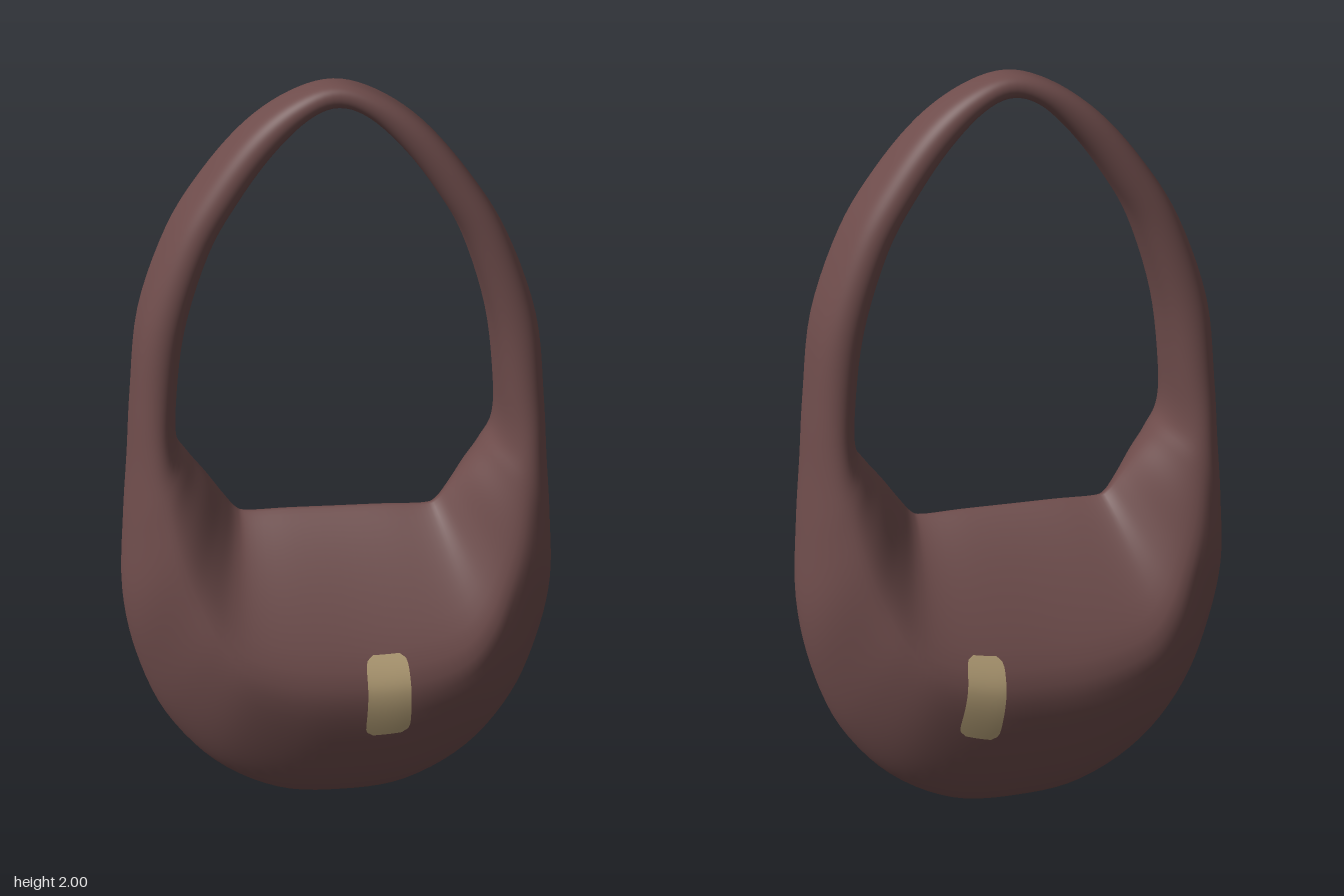
import * as THREE from 'three';

// Half of the bag's ring, from the bottom centre up to the top of the handle:
// inner x, inner y, outer x, outer y, half thickness,
// section kind: wedge-shaped pouch (1), rounded end (0), boxy strap (-1)
const STATIONS = [
  [0, 0.875, 0, 0.003, 0.264, 1],
  [0.12, 0.875, 0.17, 0.025, 0.264, 1],
  [0.22, 0.873, 0.33, 0.125, 0.253, 1],
  [0.25, 0.885, 0.45, 0.285, 0.228, 1],
  [0.28, 0.925, 0.515, 0.47, 0.197, 0.8],
  [0.32, 0.985, 0.54, 0.65, 0.17, 0.4],
  [0.36, 1.04, 0.527, 0.85, 0.14, 0.1],
  [0.39, 1.095, 0.508, 1.03, 0.114, -0.3],
  [0.392, 1.2, 0.492, 1.2, 0.1, -0.8],
  [0.366, 1.4, 0.464, 1.42, 0.095, -1],
  [0.303, 1.6, 0.39, 1.63, 0.089, -1],
  [0.232, 1.727, 0.303, 1.775, 0.081, -1],
  [0.153, 1.836, 0.203, 1.895, 0.07, -1],
  [0.07, 1.917, 0.1, 1.97, 0.057, -1],
  [0, 1.943, 0, 2, 0.048, -1],
];
const RING = [
  ...STATIONS,
  ...STATIONS.slice(1, -1).reverse().map(([a, b, c, d, h, k]) => [-a, b, -c, d, h, k]),
];
const curveOf = (pick) =>
  new THREE.CatmullRomCurve3(RING.map((r) => new THREE.Vector3(...pick(r))), true, 'catmullrom', 0.5);
const inner = curveOf((r) => [r[0], r[1], r[4]]);
const outer = curveOf((r) => [r[2], r[3], r[5]]);

const PEAK = 0.46; // where the pouch is fattest between mouth and base
const SOFT = 0.18; // rounding of the fold there

// Pouch section: sloping upper panel, soft fold, fuller rounded base
function leafProfile(s) {
  const d = s < PEAK ? 1 - s / PEAK : (s - PEAK) / (1 - PEAK);
  const fall = (Math.hypot(d, SOFT) - SOFT) / (Math.hypot(1, SOFT) - SOFT);
  return Math.pow(Math.max(0, 1 - fall), s < PEAK ? 0.76 : 0.55);
}

// Point on the skin: t counts stations, s runs inner edge to outer edge
function skinPoint(t, s, side, lift = 0) {
  const u = (((t / RING.length) % 1) + 1) % 1;
  const a = inner.getPoint(u);
  const b = outer.getPoint(u);
  const wedge = THREE.MathUtils.clamp(b.z, 0, 1);
  const boxy = THREE.MathUtils.clamp(-b.z, 0, 1);
  const round = Math.pow(4 * Math.max(0, s * (1 - s)), THREE.MathUtils.lerp(0.52, 0.3, boxy));
  const x = THREE.MathUtils.lerp(a.x, b.x, s);
  const y = THREE.MathUtils.lerp(a.y, b.y, s);
  const v = a.z * THREE.MathUtils.lerp(round, leafProfile(s), wedge) + lift;
  // The bag stands turned slightly, the strap a little more than the pouch
  const skew = 0.145 + 0.04 * THREE.MathUtils.smoothstep(y, 0.5, 1.15);
  return [x, y, side * v + skew * x];
}

function gridGeometry(points, rows, cols, wrap, flip) {
  const index = [];
  const lastRow = wrap ? rows : rows - 1;
  const lastCol = wrap ? cols : cols - 1;
  for (let i = 0; i < lastRow; i++) {
    for (let j = 0; j < lastCol; j++) {
      const i2 = (i + 1) % rows;
      const j2 = (j + 1) % cols;
      const [a, b, c, d] = [i * cols + j, i2 * cols + j, i2 * cols + j2, i * cols + j2];
      index.push(...(flip ? [a, c, b, a, d, c] : [a, b, c, a, c, d]));
    }
  }
  const g = new THREE.BufferGeometry();
  g.setAttribute('position', new THREE.Float32BufferAttribute(points.flat(), 3));
  g.setIndex(index);
  g.computeVertexNormals();
  return g;
}

// Pouch and strap as one continuous ring of cross-sections
function bagGeometry() {
  const rows = RING.length * 5;
  const cols = 56;
  const points = [];
  for (let i = 0; i < rows; i++) {
    for (let j = 0; j < cols; j++) {
      const phi = (j / cols) * Math.PI * 2;
      points.push(skinPoint(i / 5, (1 - Math.cos(phi)) / 2, j <= cols / 2 ? 1 : -1));
    }
  }
  return gridGeometry(points, rows, cols, true, true);
}

// Thin label following the skin, with rounded corners
function labelGeometry(t0, t1, s0, s1, side) {
  const rows = 21;
  const cols = 9;
  const points = [];
  for (let i = 0; i < rows; i++) {
    const f = i / (rows - 1);
    const width = Math.pow(1 - Math.pow(Math.abs(2 * f - 1), 12) * 0.6, 0.5);
    for (let j = 0; j < cols; j++) {
      const g = (j / (cols - 1) - 0.5) * width + 0.5;
      points.push(skinPoint(t0 + (t1 - t0) * g, s0 + (s1 - s0) * f, side, 0.005));
    }
  }
  return gridGeometry(points, rows, cols, false, side < 0);
}

export function createModel() {
  const leather = new THREE.MeshStandardMaterial({ color: 0x6e4c4b });
  leather.name = 'brown leather';
  const tan = new THREE.MeshStandardMaterial({ color: 0xb8a279, side: THREE.DoubleSide });
  tan.name = 'tan label';

  const group = new THREE.Group();
  group.name = 'handbag';
  const add = (name, geometry, material) => {
    const mesh = new THREE.Mesh(geometry, material);
    mesh.name = name;
    group.add(mesh);
  };
  add('pouchAndHandle', bagGeometry(), leather);
  add('frontLabel', labelGeometry(0.1, 0.85, 0.345, 0.63, 1), tan);
  add('backLabel', labelGeometry(0.8, 1.5, 0.345, 0.635, -1), tan);
  return group;
}
